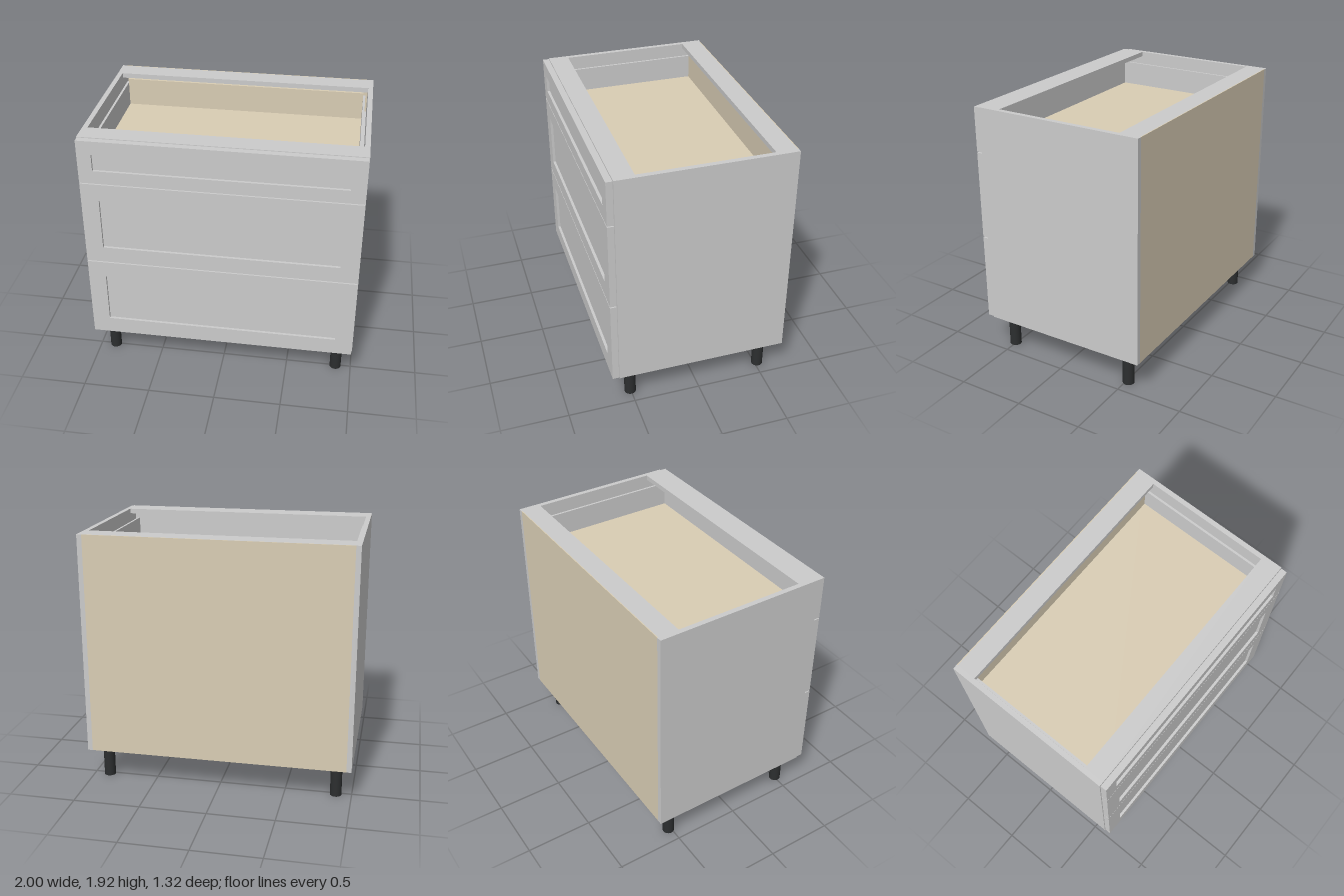
import * as THREE from 'three';

const grey = new THREE.MeshStandardMaterial({ color: 0xcccccc });
const wood = new THREE.MeshStandardMaterial({ color: 0xd9cdb4 });
const black = new THREE.MeshStandardMaterial({ color: 0x2c2e2f });

// Box given by its limits on each axis
function box(parent, name, mat, [x0, x1], [y0, y1], [z0, z1]) {
  const mesh = new THREE.Mesh(new THREE.BoxGeometry(x1 - x0, y1 - y0, z1 - z0), mat);
  mesh.position.set((x0 + x1) / 2, (y0 + y1) / 2, (z0 + z1) / 2);
  mesh.name = name;
  parent.add(mesh);
  return mesh;
}

function rectangle(Type, w, y0, y1) {
  const r = new Type();
  r.moveTo(-w, y0);
  r.lineTo(w, y0);
  r.lineTo(w, y1);
  r.lineTo(-w, y1);
  r.closePath();
  return r;
}

const FRONT_Z = 0.615, FRONT_DEPTH = 0.047, RECESS = 0.02;

// Framed front with a recessed centre panel, plus the box behind it
function drawer({ y0, y1, panelX, p0, p1, floor, sideTop, backTop }) {
  const g = new THREE.Group();
  const frame = rectangle(THREE.Shape, 0.995, y0, y1);
  frame.holes.push(rectangle(THREE.Path, panelX, p0, p1));
  const front = new THREE.Mesh(
    new THREE.ExtrudeGeometry(frame, { depth: FRONT_DEPTH, bevelEnabled: false }), grey);
  front.position.z = FRONT_Z;
  front.name = 'drawerFrontFrame';
  g.add(front);
  box(g, 'drawerFrontPanel', grey, [-panelX, panelX], [p0, p1],
    [FRONT_Z, FRONT_Z + FRONT_DEPTH - RECESS]);

  box(g, 'drawerBottom', wood, [-0.93, 0.93], [floor - 0.03, floor], [-0.58, FRONT_Z]);
  box(g, 'drawerBack', wood, [-0.93, 0.93], [floor, backTop], [-0.58, -0.55]);
  for (const s of [-1, 1]) {
    const span = (a, b) => [Math.min(s * a, s * b), Math.max(s * a, s * b)];
    box(g, 'drawerSide', grey, span(0.93, 0.947), [floor - 0.03, sideTop], [-0.58, FRONT_Z]);
    box(g, 'drawerRunner', grey, span(0.947, 0.963), [floor - 0.03, floor + 0.05], [-0.58, 0.6]);
  }
  return g;
}

export function createModel() {
  const model = new THREE.Group();
  model.name = 'drawerCabinet';

  // Carcass
  const carcass = new THREE.Group();
  carcass.name = 'carcass';
  model.add(carcass);
  box(carcass, 'rightSide', grey, [-1, -0.963], [0.255, 1.917], [-0.662, 0.612]);
  box(carcass, 'leftSide', grey, [0.963, 1], [0.255, 1.917], [-0.662, 0.612]);
  box(carcass, 'bottomPanel', wood, [-0.963, 0.963], [0.255, 0.292], [-0.655, 0.607]);
  box(carcass, 'bottomFrontEdge', grey, [-0.963, 0.963], [0.255, 0.292], [0.607, 0.612]);
  box(carcass, 'backPanel', wood, [-0.963, 0.963], [0.255, 1.917], [-0.662, -0.655]);
  box(carcass, 'backTopRail', grey, [-0.963, 0.963], [1.88, 1.917], [-0.655, -0.503]);
  box(carcass, 'frontTopRail', grey, [-0.963, 0.963], [1.88, 1.917], [0.462, 0.612]);

  // Drawers
  const drawers = [
    { name: 'bottomDrawer', y0: 0.259, y1: 0.912, panelX: 0.865, p0: 0.388, p1: 0.784,
      floor: 0.36, sideTop: 0.56, backTop: 0.72 },
    { name: 'middleDrawer', y0: 0.921, y1: 1.575, panelX: 0.865, p0: 1.046, p1: 1.445,
      floor: 0.98, sideTop: 1.18, backTop: 1.38 },
    { name: 'topDrawer', y0: 1.583, y1: 1.913, panelX: 0.892, p0: 1.683, p1: 1.812,
      floor: 1.635, sideTop: 1.82, backTop: 1.85 },
  ];
  for (const d of drawers) {
    const g = drawer(d);
    g.name = d.name;
    model.add(g);
  }

  // Legs with square mounting plates
  for (const x of [-0.882, 0.882]) {
    for (const z of [-0.52, 0.505]) {
      const leg = new THREE.Group();
      leg.name = 'leg';
      leg.position.set(x, 0, z);
      box(leg, 'legPlate', black, [-0.065, 0.065], [0.22, 0.255], [-0.065, 0.065]);
      const post = new THREE.Mesh(new THREE.CylinderGeometry(0.043, 0.043, 0.22, 32), black);
      post.position.y = 0.11;
      post.name = 'legPost';
      leg.add(post);
      model.add(leg);
    }
  }
  return model;
}
